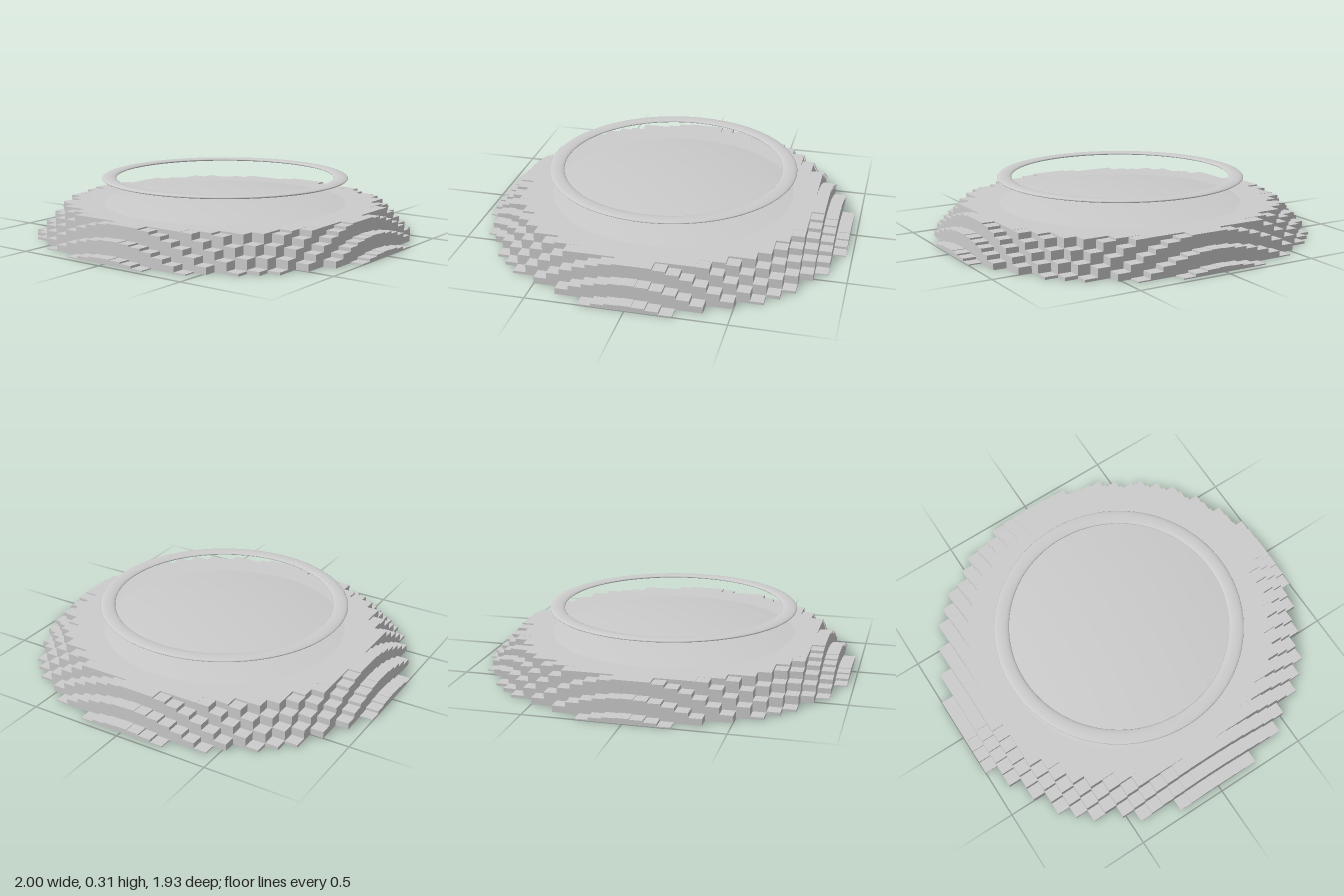
import * as THREE from 'three';

const HALF = 14;                  // cells each side of the centre cell
const DX = 2 / 29, DZ = 1.934 / 29;
const DECK = 0.165;               // height of the flat deck

// Height of one square column: a 45 degree slope cut off by the deck
function columnHeight(i, j) {
  const a = Math.abs(i), b = Math.abs(j), r2 = a * a + b * b;
  if (r2 > 205 || (a === 13 && b === 6)) return 0;
  return Math.min(DECK, 0.028 + 0.071 * (14 - Math.sqrt(r2)));
}

// Stepped mound: the outer skin of a grid of columns
function steppedGeometry() {
  const pos = [];
  const quad = (a, b, c, d) => pos.push(...a, ...b, ...c, ...a, ...c, ...d);
  for (let i = -HALF; i <= HALF; i++) {
    for (let j = -HALF; j <= HALF; j++) {
      const h = columnHeight(i, j);
      if (h <= 0) continue;
      const x0 = (i - 0.5) * DX, x1 = (i + 0.5) * DX;
      const z0 = (j - 0.5) * DZ, z1 = (j + 0.5) * DZ;
      quad([x0, h, z1], [x1, h, z1], [x1, h, z0], [x0, h, z0]);
      quad([x0, 0, z0], [x1, 0, z0], [x1, 0, z1], [x0, 0, z1]);
      // Walls only where the neighbour is lower, ordered to face outward
      const walls = [
        [0, 1, x0, z1, x1, z1], [1, 0, x1, z1, x1, z0],
        [0, -1, x1, z0, x0, z0], [-1, 0, x0, z0, x0, z1],
      ];
      for (const [di, dj, ax, az, bx, bz] of walls) {
        const low = columnHeight(i + di, j + dj);
        if (low < h - 1e-6) quad([ax, low, az], [bx, low, bz], [bx, h, bz], [ax, h, az]);
      }
    }
  }
  const geo = new THREE.BufferGeometry();
  geo.setAttribute('position', new THREE.Float32BufferAttribute(pos, 3));
  geo.computeVertexNormals();
  return geo;
}

export function createModel() {
  const group = new THREE.Group();
  const add = (name, geometry, options = {}) => {
    const mesh = new THREE.Mesh(geometry, new THREE.MeshStandardMaterial({ color: 0xcccccc, ...options }));
    mesh.name = name;
    group.add(mesh);
    return mesh;
  };

  add('steppedBase', steppedGeometry(), { flatShading: true });

  // Shallow dome rising from the deck
  const rim = 0.65, rise = 0.036;
  const R = (rim * rim + rise * rise) / (2 * rise);
  const dome = add('dome', new THREE.SphereGeometry(R, 64, 12, 0, Math.PI * 2, 0, Math.asin(rim / R)));
  dome.position.y = DECK + rise - R;

  // Thin flattened ring floating above the dome
  const ring = add('floatingRing', new THREE.TorusGeometry(0.623, 0.039, 16, 96).rotateX(Math.PI / 2));
  ring.scale.y = 0.22;
  ring.position.y = 0.301;

  return group;
}
